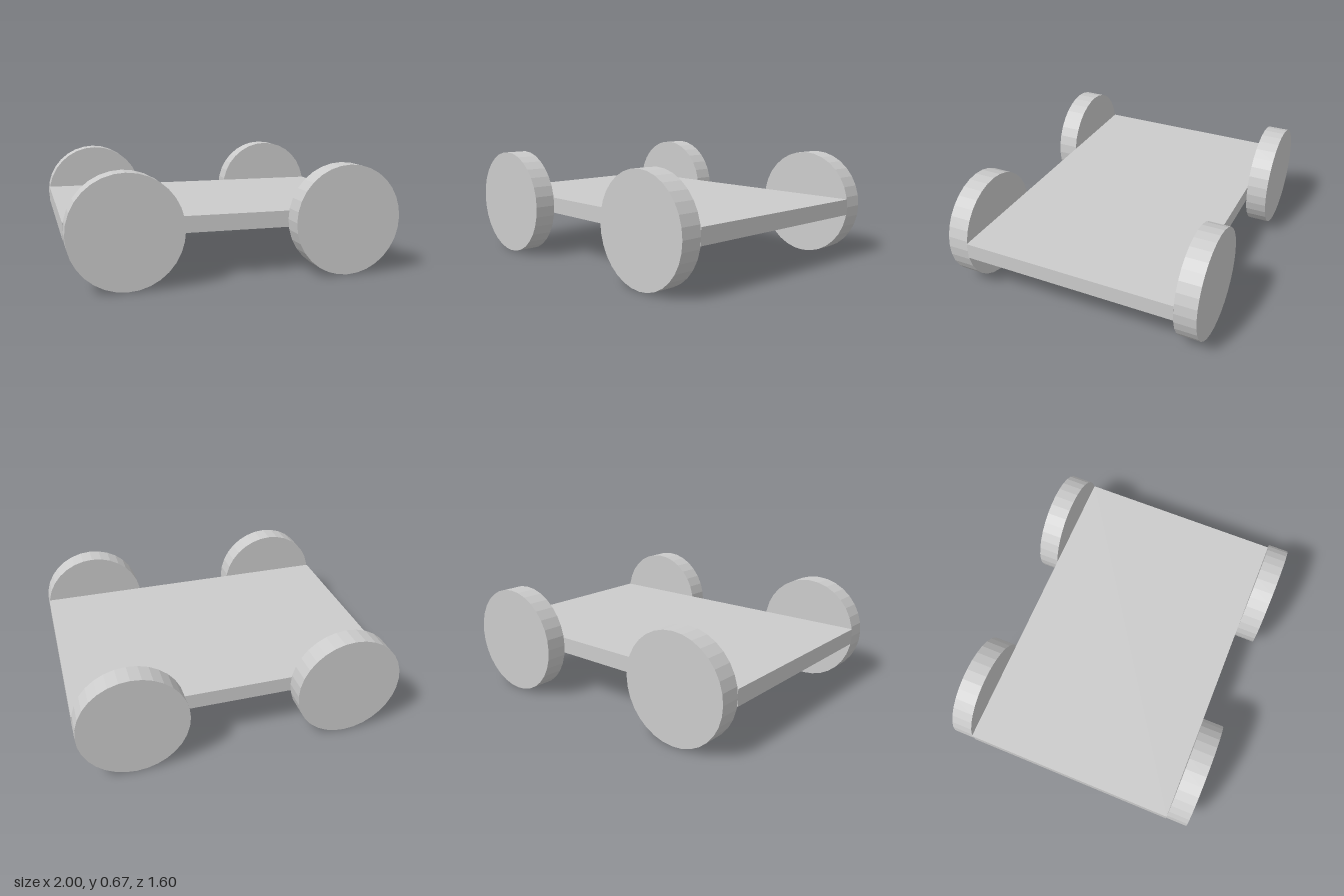
import * as THREE from 'three';

const R = 1 / 3;        // wheel radius
const WIDTH = 0.133;    // wheel thickness
const DECK_HALF = 2 / 3; // half the deck depth

export function createModel() {
  const group = new THREE.Group();
  const material = new THREE.MeshStandardMaterial({ color: 0xcccccc, flatShading: true });

  // Flat deck between the wheels
  const deck = new THREE.Mesh(new THREE.BoxGeometry(2, 0.1, 2 * DECK_HALF), material);
  deck.name = 'deck';
  deck.position.y = 0.335;
  group.add(deck);

  // Four disc wheels against the front and back edges of the deck
  const wheelGeometry = new THREE.CylinderGeometry(R, R, WIDTH, 32).rotateX(Math.PI / 2);
  for (const [sideName, sx] of [['Left', 1], ['Right', -1]]) {
    for (const [endName, sz] of [['front', 1], ['back', -1]]) {
      const wheel = new THREE.Mesh(wheelGeometry, material);
      wheel.name = `${endName}${sideName}Wheel`;
      wheel.position.set(sx * (1 - R), R, sz * (DECK_HALF + WIDTH / 2));
      group.add(wheel);
    }
  }
  return group;
}
